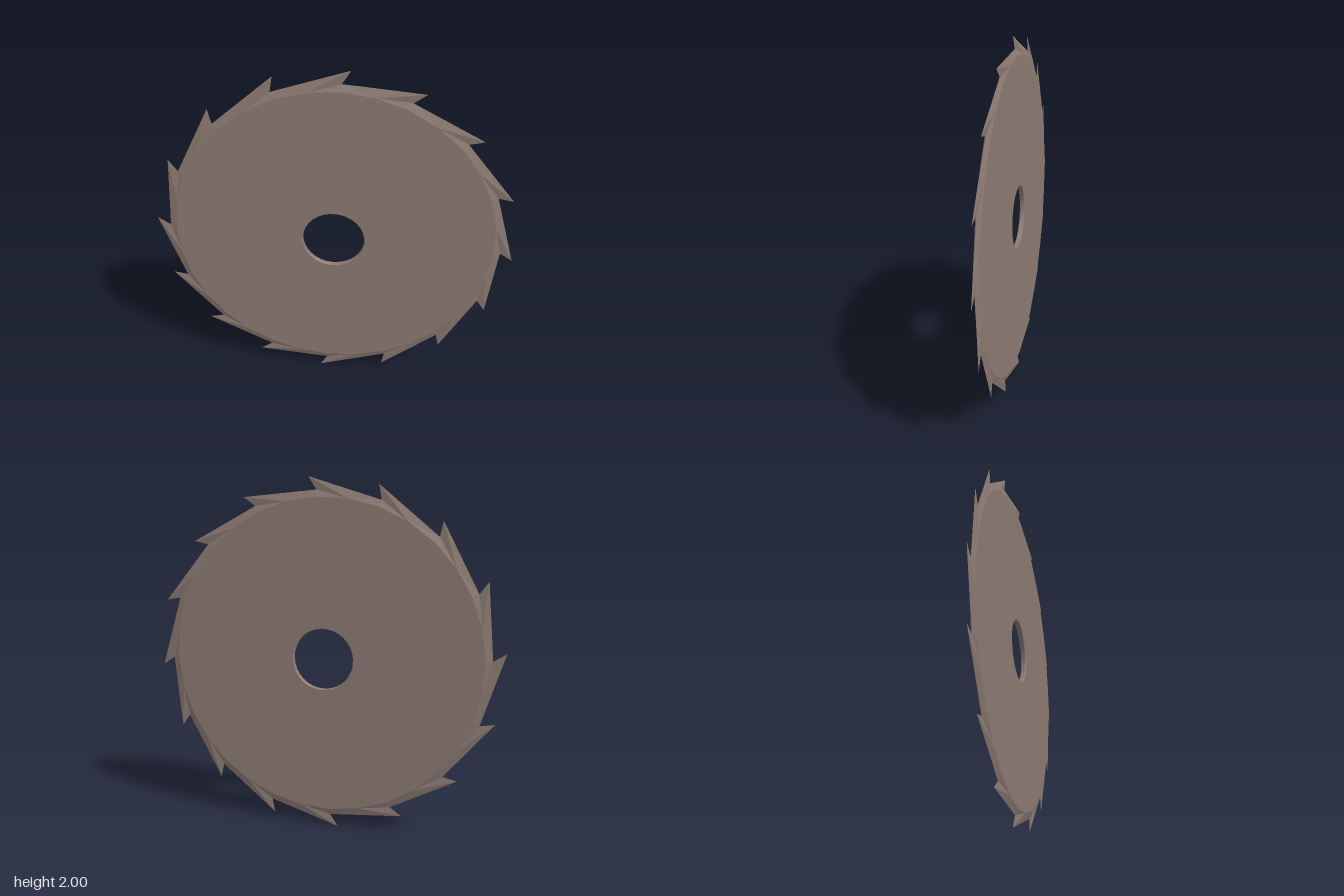
import * as THREE from 'three';

const TEETH = 16;
const PITCH = (Math.PI * 2) / TEETH;
const GULLET_ANGLE = THREE.MathUtils.degToRad(87.5); // first gullet, counter-clockwise from +x
const RAKE = THREE.MathUtils.degToRad(2.4);          // how far each tip overhangs its gullet
const TIP_R = 1.003, GULLET_R = 0.93, FACE_R = 0.893, BORE_R = 0.173;
const HALF = 0.014;                                  // half thickness of the plate

const polar = (r, a, z) => [r * Math.cos(a), r * Math.sin(a), z];

// Flat plate with a slightly chamfered bore
function plateGeometry() {
  const c = 0.004;
  const profile = [
    [FACE_R, HALF], [BORE_R + c, HALF], [BORE_R, HALF - c],
    [BORE_R, c - HALF], [BORE_R + c, -HALF], [FACE_R, -HALF],
  ].map(([r, y]) => new THREE.Vector2(r, y));
  const geo = new THREE.LatheGeometry(profile, TEETH * 2, GULLET_ANGLE + Math.PI / 2);
  return geo.rotateX(Math.PI / 2);
}

// Teeth ground on both sides down to a knife edge at z = 0
function teethGeometry() {
  const pos = [];
  for (let i = 0; i < TEETH; i++) {
    const a = GULLET_ANGLE + i * PITCH, b = a + PITCH;
    for (const side of [1, -1]) {
      const z = HALF * side;
      const p0 = polar(FACE_R, a, z);
      const p1 = polar(FACE_R, (a + b) / 2, z);
      const p2 = polar(FACE_R, b, z);
      const gullet = polar(GULLET_R, a, 0);
      const nextGullet = polar(GULLET_R, b, 0);
      const tip = polar(TIP_R, a - RAKE, 0);
      const tris = [
        [p0, gullet, p1], [gullet, tip, p1],
        [tip, nextGullet, p1], [p1, nextGullet, p2],
      ];
      for (const t of tris) {
        if (side < 0) t.reverse();
        pos.push(...t.flat());
      }
    }
  }
  const geo = new THREE.BufferGeometry();
  geo.setAttribute('position', new THREE.Float32BufferAttribute(pos, 3));
  geo.computeVertexNormals();
  return geo;
}

export function createModel() {
  const group = new THREE.Group();
  group.name = 'sawBlade';
  const steel = new THREE.MeshStandardMaterial({ color: 0x8c7a72, flatShading: true });

  const add = (name, geometry) => {
    const mesh = new THREE.Mesh(geometry, steel);
    mesh.name = name;
    mesh.position.y = 1;
    group.add(mesh);
  };
  add('bladePlate', plateGeometry());
  add('bladeTeeth', teethGeometry());
  return group;
}
